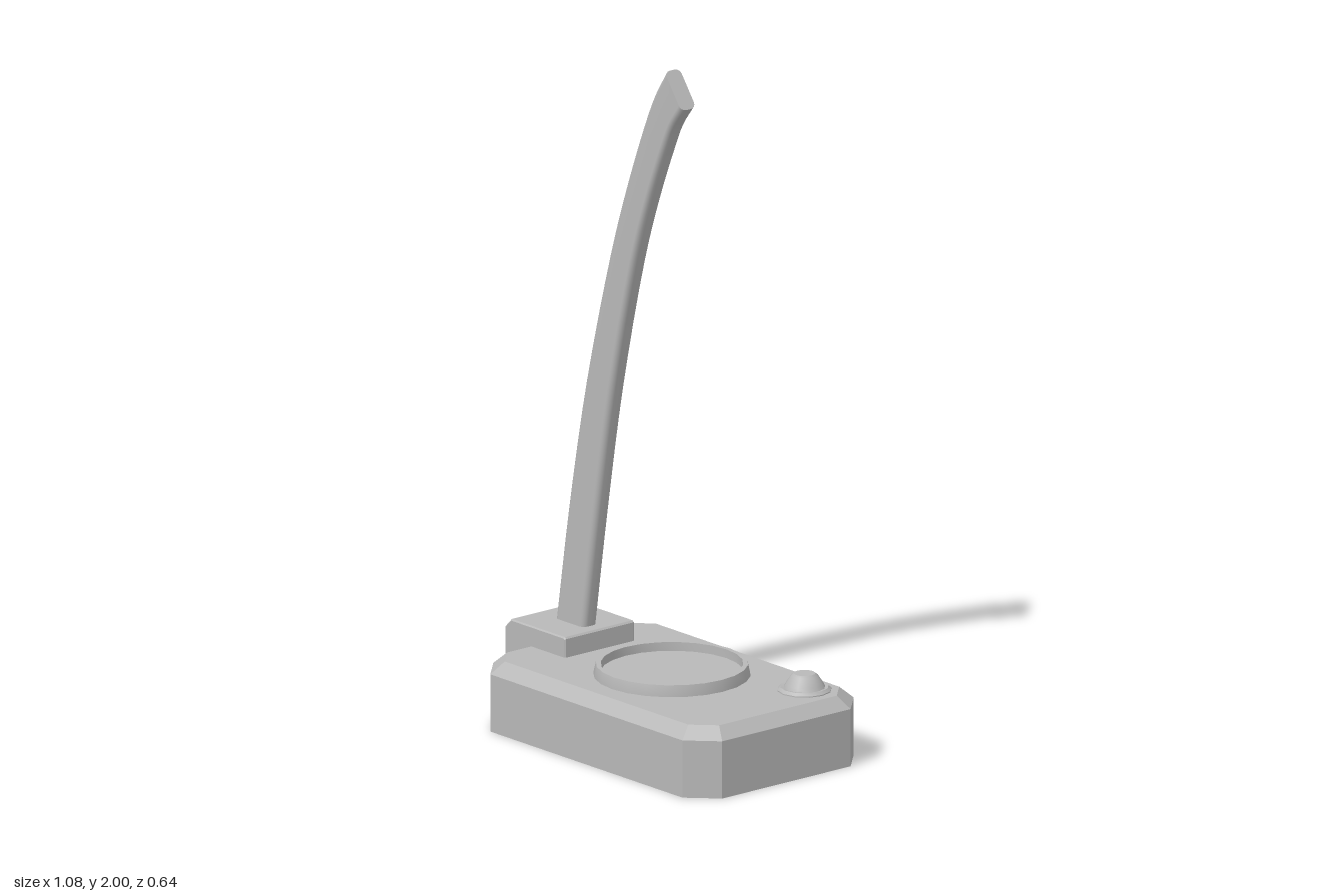
import * as THREE from 'three';
import { toCreasedNormals } from 'three/addons/utils/BufferGeometryUtils.js';
import { ConvexGeometry } from 'three/addons/geometries/ConvexGeometry.js';

const V2 = (x, y) => new THREE.Vector2(x, y);
const V3 = (x, y, z) => new THREE.Vector3(x, y, z);

// Rectangle with cut corners, lying at height y
function octagon(cx, y, hx, hz, cut) {
  const pts = [];
  for (const sx of [-1, 1]) for (const sz of [-1, 1]) {
    pts.push(V3(cx + sx * (hx - cut), y, sz * hz), V3(cx + sx * hx, y, sz * (hz - cut)));
  }
  return pts;
}

function lathe(profile, segments) {
  const g = new THREE.LatheGeometry(profile.map(([r, y]) => V2(r, y)), segments);
  return toCreasedNormals(g, 0.6);
}

// Curved arm: rounded rectangular sections spanning two edge curves
function armGeometry() {
  const left = new THREE.CatmullRomCurve3([
    V3(-0.445, 0.24, 0), V3(-0.385, 0.62, 0), V3(-0.31, 1.0, 0), V3(-0.205, 1.4, 0),
    V3(-0.14, 1.6, 0), V3(-0.06, 1.81, 0), V3(-0.01, 1.92, 0), V3(0.04, 2.0, 0)]);
  const right = new THREE.CatmullRomCurve3([
    V3(-0.32, 0.24, 0), V3(-0.262, 0.62, 0), V3(-0.195, 1.0, 0), V3(-0.1, 1.4, 0),
    V3(-0.038, 1.59, 0), V3(0.028, 1.755, 0), V3(0.065, 1.835, 0), V3(0.113, 1.9, 0)]);
  const halfW = 0.0625, halfZ = 0.028, r = 0.018, perCorner = 5;
  const section = [];
  [[1, 1], [-1, 1], [-1, -1], [1, -1]].forEach(([sx, sz], q) => {
    for (let k = 0; k < perCorner; k++) {
      const a = (q + k / (perCorner - 1)) * Math.PI / 2;
      section.push([sx * (halfW - r) + r * Math.cos(a), -(sz * (halfZ - r) + r * Math.sin(a))]);
    }
  });
  const n = section.length, rows = 28, pos = [], idx = [];
  const addRow = (t) => {
    const a = left.getPoint(t), b = right.getPoint(t);
    for (const [x, z] of section) {
      const p = a.clone().lerp(b, 0.5 + x / (2 * halfW));
      pos.push(p.x, p.y, z);
    }
  };
  for (let i = 0; i <= rows; i++) addRow(i / rows);
  for (let i = 0; i < rows; i++) for (let j = 0; j < n; j++) {
    const a = i * n + j, b = i * n + (j + 1) % n;
    idx.push(a, b, a + n, b, b + n, a + n);
  }
  // Flat end face with its own vertices
  const cap = (rows + 1) * n;
  addRow(1);
  for (let j = 1; j < n - 1; j++) idx.push(cap, cap + j, cap + j + 1);
  const g = new THREE.BufferGeometry();
  g.setAttribute('position', new THREE.Float32BufferAttribute(pos, 3));
  g.setIndex(idx);
  g.computeVertexNormals();
  return g;
}

export function createModel() {
  const model = new THREE.Group();
  const grey = new THREE.MeshStandardMaterial({ color: 0xb8b8b8 });
  grey.name = 'grey';
  const add = (name, geometry, x = 0, y = 0, z = 0) => {
    const m = new THREE.Mesh(geometry, grey);
    m.name = name;
    m.position.set(x, y, z);
    model.add(m);
  };

  // Base block with chamfered corners and top edge
  add('base', new ConvexGeometry([
    ...octagon(0.04, 0, 0.5, 0.32, 0.08),
    ...octagon(0.04, 0.17, 0.5, 0.32, 0.08),
    ...octagon(0.04, 0.205, 0.463, 0.282, 0.062)]));

  // L-shaped bracket hooked over the side of the base
  const profile = new THREE.Shape([
    V2(-0.54, 0), V2(-0.44, 0), V2(-0.44, 0.19), V2(-0.275, 0.19),
    V2(-0.275, 0.26), V2(-0.28, 0.265), V2(-0.512, 0.265), V2(-0.54, 0.237)]);
  const b = 0.004;
  add('bracket', new THREE.ExtrudeGeometry(profile, {
    depth: 0.26 - 2 * b, bevelThickness: b, bevelSize: b, bevelOffset: -b, bevelSegments: 1,
  }), 0, 0, -0.13 + b);

  add('arm', armGeometry());

  // Shallow round dish with a raised rim
  add('dish', lathe([[0.224, 0.2], [0.224, 0.206], [0.217, 0.238], [0.203, 0.238],
    [0.203, 0.212], [0, 0.212]], 24), 0.04, 0, 0);

  // Stepped knob at the rear corner
  add('knob', lathe([[0.078, 0.2], [0.078, 0.208], [0.07, 0.216], [0.06, 0.214],
    [0.055, 0.224], [0.038, 0.25], [0.031, 0.255], [0, 0.255]], 12), 0.4, 0, -0.187);

  return model;
}
